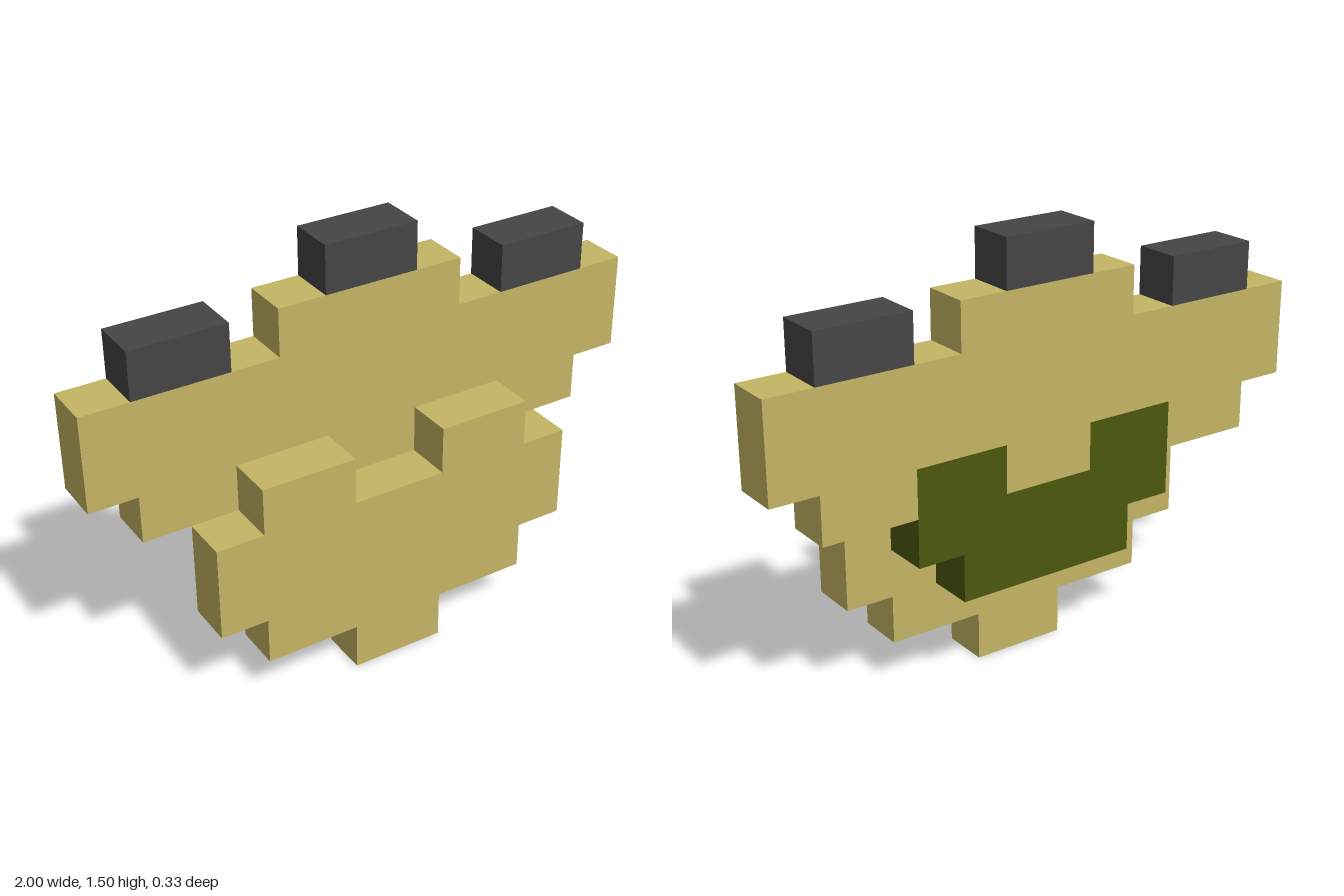
import * as THREE from 'three';

const U = 1 / 6; // one block

function material(name, color) {
  const m = new THREE.MeshStandardMaterial({ color });
  m.name = name;
  return m;
}

// One-block-thick slab from the +x half of a symmetric stepped outline (in blocks, bottom to top)
function slab(name, half, zBack, mat) {
  const right = half.map(([x, y]) => new THREE.Vector2(x * U, y * U));
  const left = half.map(([x, y]) => new THREE.Vector2(-x * U, y * U)).reverse();
  const geometry = new THREE.ExtrudeGeometry(new THREE.Shape([...right, ...left]), {
    depth: U, bevelEnabled: false,
  });
  geometry.translate(0, 0, zBack * U);
  const mesh = new THREE.Mesh(geometry, mat);
  mesh.name = name;
  return mesh;
}

export function createModel() {
  const group = new THREE.Group();
  group.name = 'blockFoot';
  const tan = material('tan', 0xc5b564);
  const green = material('darkGreen', 0x4c570d);
  const grey = material('darkGrey', 0x454545);

  // Wide toe layer at the back, notched underneath for the pad
  group.add(slab('toes', [
    [1, 4], [1, 5], [3, 5], [3, 4], [5, 4], [5, 5], [6, 5], [6, 7], [2, 7], [2, 8],
  ], -1, tan));

  // Green pad fitted into the notches
  group.add(slab('solePad', [
    [2, 2], [2, 3], [3, 3], [3, 5], [1, 5], [1, 4],
  ], -1, green));

  // Heel layer in front
  group.add(slab('heel', [
    [1, 0], [1, 1], [3, 1], [3, 2], [4, 2], [4, 4], [3, 4], [3, 5], [1, 5], [1, 4],
  ], 0, tan));

  // Three claws along the top
  const clawGeometry = new THREE.BoxGeometry(2 * U, U, U);
  for (const [name, x, y] of [['leftClaw', 4, 7.5], ['middleClaw', 0, 8.5], ['rightClaw', -4, 7.5]]) {
    const claw = new THREE.Mesh(clawGeometry, grey);
    claw.name = name;
    claw.position.set(x * U, y * U, -0.5 * U);
    group.add(claw);
  }
  return group;
}
